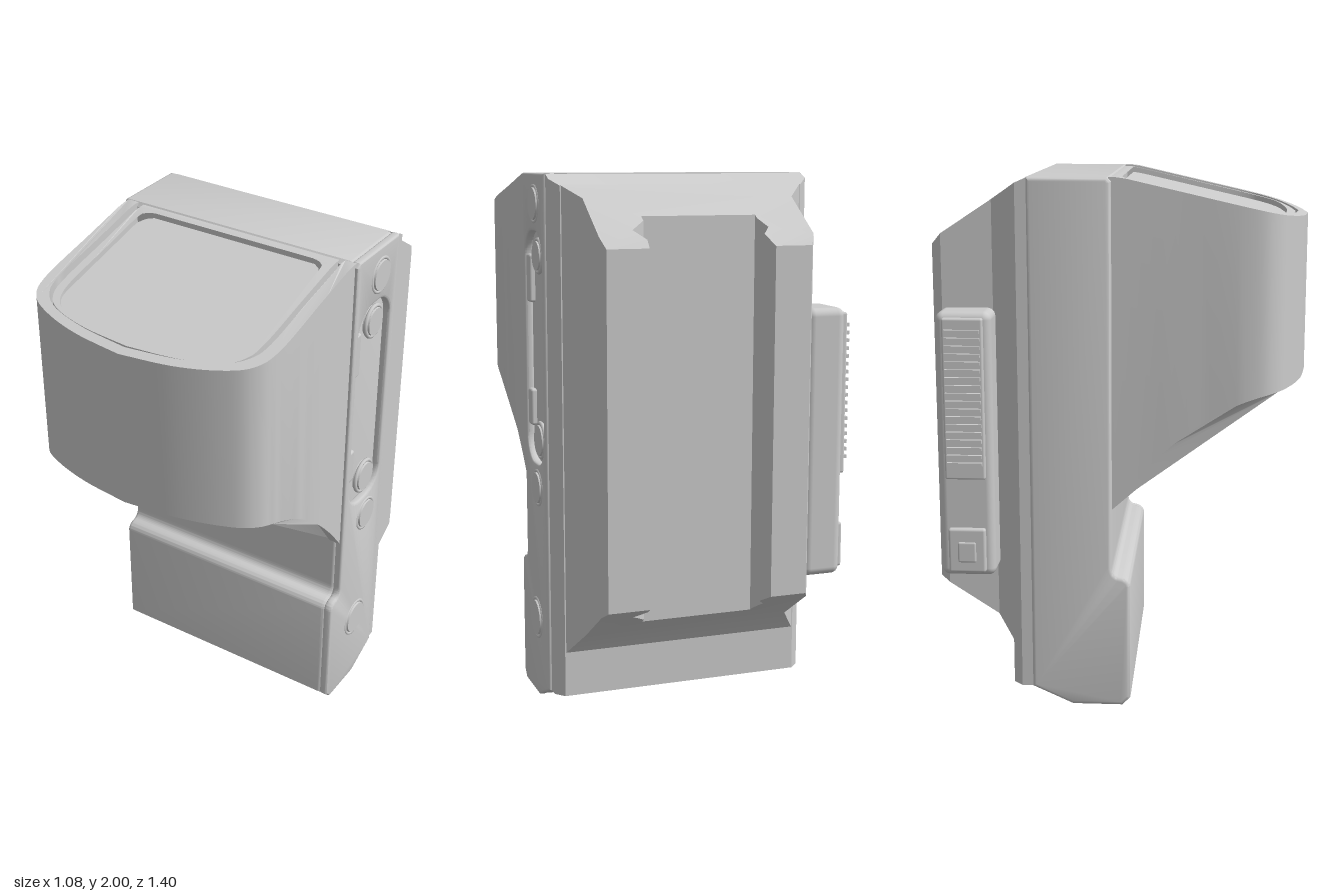
import * as THREE from 'three';
import { toCreasedNormals } from 'three/addons/utils/BufferGeometryUtils.js';
import { RoundedBoxGeometry } from 'three/addons/geometries/RoundedBoxGeometry.js';

const CX = 0.03; // centre line of the hood
const mat = new THREE.MeshStandardMaterial({ color: 0xcccccc });
const thinMat = new THREE.MeshStandardMaterial({ color: 0xcccccc, side: THREE.DoubleSide });
const v2 = (pts) => pts.map(([a, b]) => new THREE.Vector2(a, b));

// Outline in (z, y), extruded across x from x0 to x1
function acrossX(shape, x0, x1, bevel) {
  const geo = new THREE.ExtrudeGeometry(shape, {
    depth: x1 - x0 - 2 * bevel, bevelEnabled: bevel > 0, bevelThickness: bevel,
    bevelSize: bevel, bevelOffset: -bevel, bevelSegments: 3, curveSegments: 16 });
  geo.rotateY(-Math.PI / 2).translate(x1 - bevel, 0, 0);
  return toCreasedNormals(geo, 0.6);
}

// Outline in (x, z), extruded up y; both ends follow a rule of z
function alongY(outline, bottom, top, holePts) {
  const flip = (pts) => pts.map((p) => new THREE.Vector2(p.x, -p.y));
  const shape = new THREE.Shape(flip(outline));
  if (holePts) shape.holes.push(new THREE.Path(flip(holePts)));
  const geo = new THREE.ExtrudeGeometry(shape, { depth: 1, bevelEnabled: false });
  geo.rotateX(-Math.PI / 2);
  const p = geo.attributes.position;
  for (let i = 0; i < p.count; i++) {
    const z = p.getZ(i);
    p.setY(i, THREE.MathUtils.lerp(bottom(z), top(z), p.getY(i)));
  }
  return toCreasedNormals(geo, 0.5);
}

// U-shaped path around the hood, from the +x side round the front to -x
function uPath(half) {
  const right = new THREE.SplineCurve(v2(half)).getPoints(36);
  const left = right.slice(0, -1).reverse().map((p) => new THREE.Vector2(-p.x, p.y));
  return [...right, ...left].map((p) => new THREE.Vector2(p.x + CX, p.y));
}

// Sloped top and arched underside of the hood
const hoodTop = (z) => 2 - 0.16 * Math.max(z, 0) / 0.7;
const hoodBottom = (z) => 1.23 - 0.45 * Math.pow(Math.max(0.68 - z, 0) / 0.71, 2.1);

function bodyProfile() {
  const s = new THREE.Shape();
  s.moveTo(0.01, 0);
  s.lineTo(0.04, 0.03);
  s.lineTo(0.04, 0.48);
  s.quadraticCurveTo(0.035, 0.51, 0, 0.515);
  s.quadraticCurveTo(-0.03, 0.52, -0.03, 0.56);
  s.lineTo(-0.03, 1.985);
  s.lineTo(-0.045, 2);
  s.lineTo(-0.335, 2);
  s.lineTo(-0.335, 0.07);
  s.lineTo(-0.18, 0);
  s.closePath();
  return s;
}

function slot(z0, z1, y0, y1, r) {
  const h = new THREE.Path();
  h.moveTo(z0 + r, y0);
  h.lineTo(z1 - r, y0);
  h.absarc(z1 - r, y0 + r, r, -Math.PI / 2, 0);
  h.absarc(z1 - r, y1 - r, r, 0, Math.PI / 2);
  h.absarc(z0 + r, y1 - r, r, Math.PI / 2, Math.PI);
  h.absarc(z0 + r, y0 + r, r, Math.PI, Math.PI * 1.5);
  return h;
}

export function createModel() {
  const model = new THREE.Group();
  const add = (name, geo, x = 0, y = 0, z = 0, m = mat) => {
    const mesh = new THREE.Mesh(geo, m);
    mesh.name = name;
    mesh.position.set(x, y, z);
    model.add(mesh);
    return mesh;
  };

  // Main body, and a side plate with a recessed panel
  add('body', acrossX(bodyProfile(), -0.48, 0.505, 0.015));
  const plate = bodyProfile();
  plate.holes.push(slot(-0.3, -0.06, 0.92, 1.79, 0.1));
  add('sidePlate', acrossX(plate, 0.5, 0.535, 0.01));

  // Screws and button on the side
  const screw = (name, y, z, r, x) => {
    const disc = new THREE.CylinderGeometry(r * 0.88, r, 0.03, 28).rotateZ(-Math.PI / 2);
    add(name, toCreasedNormals(disc, 0.5), x - 0.015, y, z);
    add(name + 'Rim', new THREE.TorusGeometry(r, 0.008, 8, 28).rotateY(Math.PI / 2), x - 0.012, y, z);
  };
  screw('topScrew', 1.89, -0.205, 0.065, 0.543);
  screw('upperPanelScrew', 1.7, -0.2, 0.06, 0.53);
  screw('lowerPanelScrew', 1.01, -0.2, 0.065, 0.53);
  screw('middleScrew', 0.83, -0.205, 0.065, 0.543);
  screw('sideButton', 0.31, -0.17, 0.075, 0.543);
  for (const [y, h] of [[1.61, 0.18], [1.12, 0.14]])
    add('panelCatch', new RoundedBoxGeometry(0.03, h, 0.05, 2, 0.01), 0.512, y, -0.075);

  // Protective hood: a U-shaped wall open at both ends
  const outer = uPath([[0.49, -0.04], [0.49, 0.2], [0.49, 0.46], [0.455, 0.565], [0.36, 0.625], [0.2, 0.672], [0, 0.697]]);
  const inner = uPath([[0.445, -0.04], [0.445, 0.2], [0.445, 0.45], [0.415, 0.54], [0.34, 0.595], [0.19, 0.637], [0, 0.66]]);
  add('hood', alongY([...outer, ...inner.reverse()], hoodBottom, hoodTop));

  // Window housing inside the hood
  const housing = uPath([[0.422, -0.04], [0.422, 0.2], [0.422, 0.45], [0.4, 0.54], [0.335, 0.592], [0.19, 0.63], [0, 0.648]]);
  const opening = uPath([[0.34, 0], [0.375, 0.012], [0.39, 0.05], [0.39, 0.25], [0.39, 0.45], [0.365, 0.545], [0.3, 0.588], [0.16, 0.607], [0, 0.614]]);
  add('windowHousing', alongY(housing, (z) => hoodBottom(z) + 0.03, (z) => hoodTop(z) - 0.005, opening));

  // Curved window panes filling the opening at each end
  const halfWidth = (z) => {
    if (z < 0.05) return 0.345 + 0.045 * Math.sqrt(z / 0.05);
    if (z < 0.45) return 0.39;
    return 0.39 * Math.pow(Math.max(1 - Math.pow((z - 0.45) / 0.165, 3.2), 0), 0.4);
  };
  const pane = (name, height) => {
    const geo = new THREE.PlaneGeometry(2, 1, 12, 40);
    const p = geo.attributes.position;
    for (let i = 0; i < p.count; i++) {
      const z = (0.5 - p.getY(i)) * 0.614;
      p.setXYZ(i, CX + p.getX(i) * halfWidth(z), height(z), z);
    }
    geo.computeVertexNormals();
    add(name, geo, 0, 0, 0, thinMat);
  };
  pane('frontWindow', (z) => hoodTop(z) - 0.025);
  pane('rearWindow', (z) => hoodBottom(z) + 0.1);

  // Mount: base plate with tapered flanks, then the clamp with its dovetail channel
  const mountTop = (z) => z > -0.665 ? 2 - 0.21 * Math.max(-0.345 - z, 0) / 0.32 : 1.79 - (-0.665 - z) * 1.15;
  const mountBottom = (z) => z > -0.47 ? 0.24 + (-0.41 - z) * 1.33 : 0.32 + (-0.47 - z) * 0.65;
  add('mountPlate', alongY(v2([[-0.47, -0.33], [-0.47, -0.375], [-0.435, -0.41], [0.493, -0.41],
    [0.525, -0.375], [0.525, -0.33]]), () => 0.07, mountTop));
  add('railClamp', alongY(v2([[-0.435, -0.405], [-0.37, -0.475], [-0.37, -0.665], [-0.35, -0.7],
    [-0.21, -0.7], [-0.18, -0.665], [-0.21, -0.63], [-0.185, -0.585], [-0.185, -0.568],
    [0.245, -0.568], [0.245, -0.59], [0.3, -0.635], [0.26, -0.675], [0.26, -0.7],
    [0.415, -0.7], [0.43, -0.665], [0.43, -0.475], [0.493, -0.405]]), mountBottom, mountTop));

  // Clamp lever with a ribbed grip and end tab
  add('lever', new RoundedBoxGeometry(0.15, 1, 0.205, 4, 0.03), -0.432, 1.02, -0.567);
  add('leverGrip', new RoundedBoxGeometry(0.03, 0.6, 0.15, 2, 0.008), -0.512, 1.2, -0.567);
  add('leverTab', new RoundedBoxGeometry(0.03, 0.17, 0.14, 2, 0.01), -0.512, 0.625, -0.567);
  add('leverTabButton', new RoundedBoxGeometry(0.02, 0.08, 0.07, 2, 0.008), -0.522, 0.62, -0.567);
  for (let i = 0; i < 18; i++)
    add('gripRib', new THREE.BoxGeometry(0.02, 0.013, 0.13), -0.53, 0.96 + i * 0.029, -0.567);

  return model;
}
